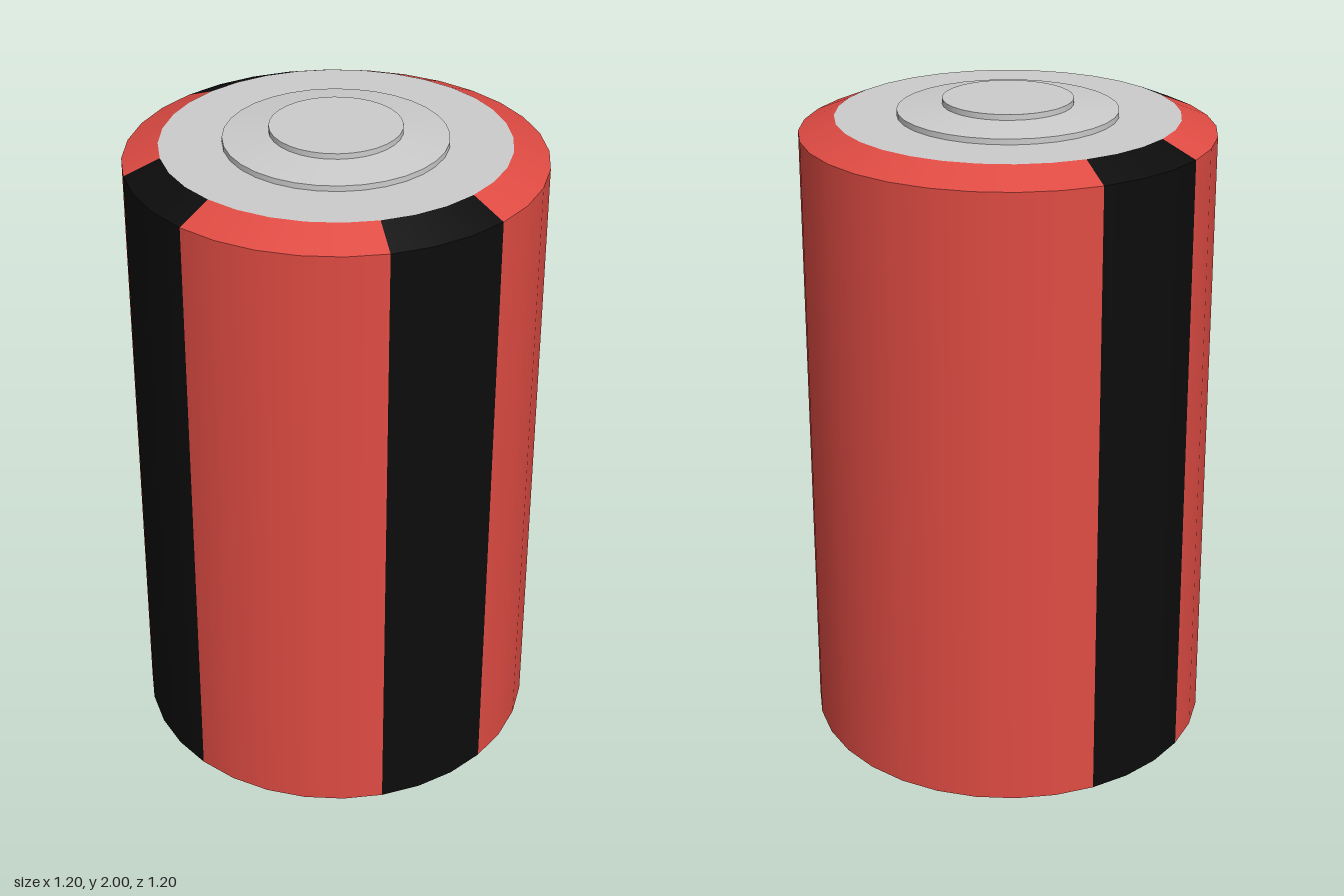
import * as THREE from 'three';
import { mergeGeometries } from 'three/addons/utils/BufferGeometryUtils.js';

const SIDES = 32;
const STEP = (Math.PI * 2) / SIDES;

const red = new THREE.MeshStandardMaterial({ color: 0xdf4b43 });
const black = new THREE.MeshStandardMaterial({ color: 0x0c0c0c });
const grey = new THREE.MeshStandardMaterial({ color: 0xcccccc });

// Revolves a [radius, y] profile over some of the sides, with a hard edge at every profile point.
function revolve(name, material, profile, start = 0, count = SIDES) {
  const bands = [];
  for (let i = 0; i + 1 < profile.length; i++) {
    const pair = [profile[i], profile[i + 1]].map(([r, y]) => new THREE.Vector2(r, y));
    bands.push(new THREE.LatheGeometry(pair, count, start * STEP, count * STEP));
  }
  const mesh = new THREE.Mesh(mergeGeometries(bands), material);
  mesh.name = name;
  return mesh;
}

export function createModel() {
  const model = new THREE.Group();
  model.name = 'battery';

  // Slightly tapered wrapper with a bevelled shoulder, split into colour panels
  const wall = [[0.602, 0.06], [0.59, 1.91], [0.488, 1.953]];
  const panels = [
    ['stripe', black, 1, 3], ['wrapper', red, 4, 13],
    ['stripe', black, 17, 3], ['wrapper', red, 20, 5],
    ['stripe', black, 25, 3], ['wrapper', red, 28, 5],
  ];
  for (const [name, material, start, count] of panels) {
    model.add(revolve(name, material, wall, start, count));
  }

  // Bevel under the wrapper and the dark insulating ring
  model.add(revolve('bottomBevel', red, [[0.515, 0], [0.602, 0.06]]));
  model.add(revolve('insulatingRing', black, [[0.467, 0], [0.515, 0]]));

  // Dished bottom contact with a shallow recess in its middle
  model.add(revolve('bottomContact', grey, [[0, 0.045], [0.207, 0.045], [0.207, 0.038], [0.467, 0]]));

  // Top plate, raised step and button
  model.add(revolve('topPlate', grey, [[0.313, 1.953], [0.488, 1.953]].reverse()));
  model.add(revolve('topStep', grey, [[0.313, 1.953], [0.313, 1.969], [0.185, 1.984]]));
  model.add(revolve('topButton', grey, [[0.185, 1.984], [0.185, 2], [0, 2]]));

  return model;
}
